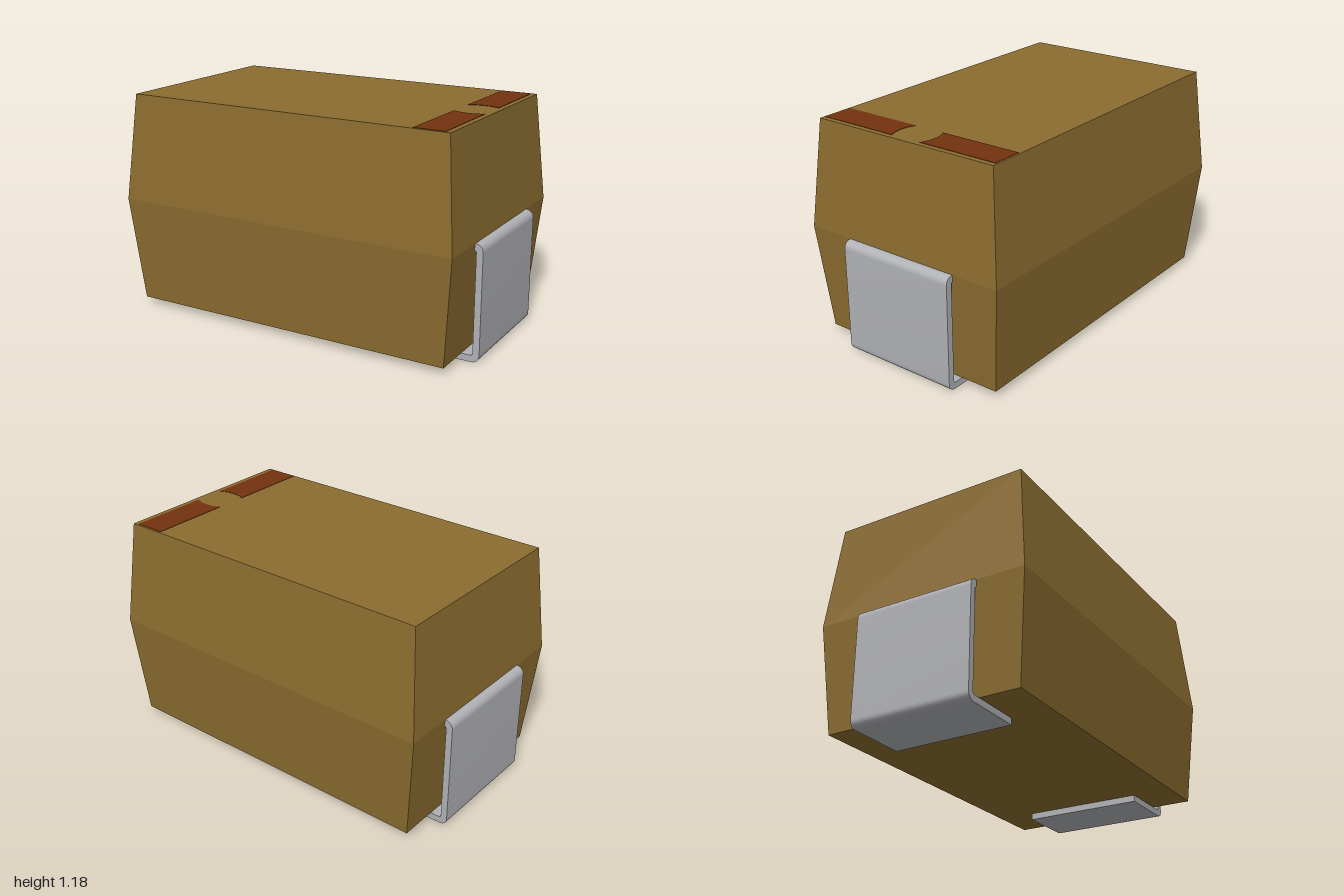
import * as THREE from 'three';
import { toCreasedNormals } from 'three/addons/utils/BufferGeometryUtils.js';

const resin = new THREE.MeshStandardMaterial({ color: 0x8b6c2f });
resin.name = 'ochre resin';
const metal = new THREE.MeshStandardMaterial({ color: 0xb0b1b5 });
metal.name = 'tinned metal';
const paint = new THREE.MeshStandardMaterial({ color: 0x73320f });
paint.name = 'rust paint';

// Moulded block, widest at the parting line
function bodyGeometry() {
  const bottom = 0.038, waist = 0.61, top = 1.18;
  const box = new THREE.BoxGeometry(2, 2, 2, 1, 2, 1);
  const p = box.attributes.position;
  for (let i = 0; i < p.count; i++) {
    const y = p.getY(i), mid = Math.abs(y) < 0.01;
    p.setXYZ(i,
      p.getX(i) * (mid ? 0.958 : 0.908),
      mid ? waist : y > 0 ? top : bottom,
      p.getZ(i) * (mid ? 0.587 : 0.537));
  }
  const flat = box.toNonIndexed();
  flat.computeVertexNormals();
  return flat;
}

// Folded strip: foot below, upright outside, tab entering the body at the waist
function leadGeometry() {
  const t = 0.035, r = 0.04, ri = 0.008, h = 0.61, half = 0.328;
  const s = new THREE.Shape();
  s.moveTo(0.645, 0);
  s.lineTo(1 - r, 0);
  s.absarc(1 - r, r, r, -Math.PI / 2, 0, false);
  s.lineTo(1, h - r);
  s.absarc(1 - r, h - r, r, 0, Math.PI / 2, false);
  s.lineTo(0.9, h);
  s.lineTo(0.9, h - t);
  s.lineTo(1 - t - ri, h - t);
  s.lineTo(1 - t, h - t - ri);
  s.lineTo(1 - t, t + ri);
  s.lineTo(1 - t - ri, t);
  s.lineTo(0.645, t);
  s.closePath();
  const g = new THREE.ExtrudeGeometry(s, { depth: 2 * half, bevelEnabled: false, curveSegments: 10 });
  g.translate(0, 0, -half);
  return toCreasedNormals(g, 0.6);
}

// Half of the polarity bar, with a hollow curved inner end
function markGeometry() {
  const x0 = 0.715, x1 = 0.88;
  const s = new THREE.Shape();
  s.moveTo(x0, 0.086);
  s.quadraticCurveTo((x0 + x1) / 2, 0.126, x1, 0.086);
  s.lineTo(x1, 0.527);
  s.lineTo(x0, 0.527);
  s.closePath();
  const g = new THREE.ExtrudeGeometry(s, { depth: 0.004, bevelEnabled: false, curveSegments: 12 });
  g.rotateX(-Math.PI / 2);
  return g.translate(0, 1.178, 0);
}

export function createModel() {
  const group = new THREE.Group();
  group.name = 'chipCapacitor';
  const add = (name, geometry, material) => {
    const mesh = new THREE.Mesh(geometry, material);
    mesh.name = name;
    group.add(mesh);
    return mesh;
  };

  add('body', bodyGeometry(), resin);

  // Matching parts are turned half a circle to the other side
  add('leftLead', leadGeometry(), metal);
  add('rightLead', leadGeometry(), metal).rotation.y = Math.PI;

  add('backMark', markGeometry(), paint);
  const front = markGeometry().rotateY(Math.PI).translate(2 * 0.7975, 0, 0);
  add('frontMark', front, paint);

  return group;
}
